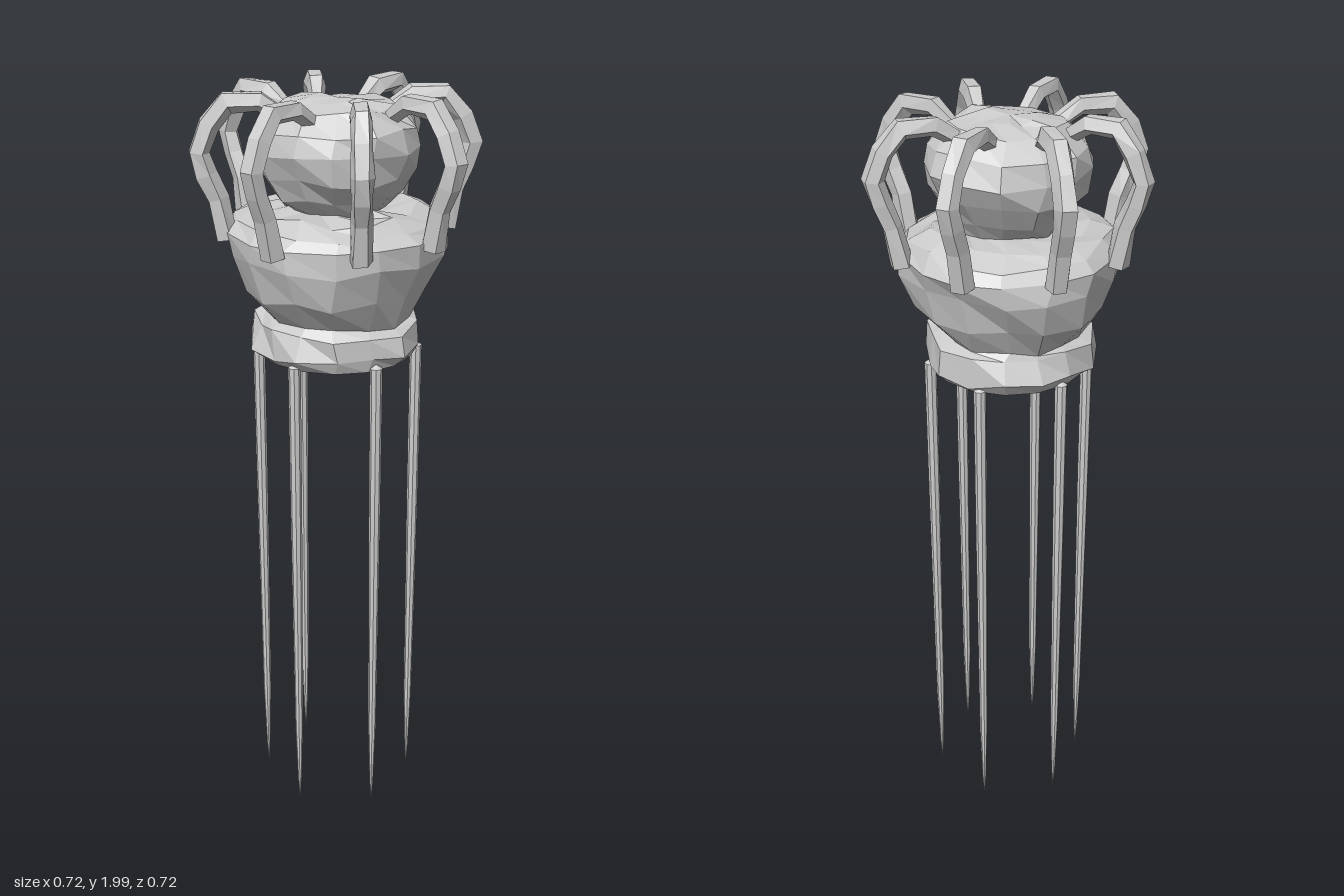
import * as THREE from 'three';

const material = new THREE.MeshStandardMaterial({ color: 0xcccccc, flatShading: true });

// Repeatable noise in -1..1, equal for equal positions so seams stay closed
function noise(x, y, z, k) {
  const q = v => Math.round(v * 1000);
  const s = Math.sin(q(x) * 12.99 + q(y) * 78.23 + q(z) * 37.72 + k * 4.1) * 43758.55;
  return (s - Math.floor(s)) * 2 - 1;
}

function roughen(geometry, amount, fixed = () => false) {
  const p = geometry.attributes.position;
  for (let i = 0; i < p.count; i++) {
    const x = p.getX(i), y = p.getY(i), z = p.getZ(i);
    if (Math.hypot(x, z) < 0.01 || fixed(y)) continue;
    p.setXYZ(i, x + amount * noise(x, y, z, 1), y + amount * noise(x, y, z, 2), z + amount * noise(x, y, z, 3));
  }
  geometry.computeVertexNormals();
  return geometry;
}

function lathe(name, profile, sides, amount, fixed) {
  const points = profile.map(([r, y]) => new THREE.Vector2(r, y));
  const mesh = new THREE.Mesh(roughen(new THREE.LatheGeometry(points, sides), amount, fixed), material);
  mesh.name = name;
  return mesh;
}

// Bent arm in its own plane: +x outwards, y up, swept with a five-sided section
function armGeometry(path, seed) {
  const sides = 5, pos = [], index = [];
  const pts = path.map(([x, y]) => new THREE.Vector2(x, y));
  pts.forEach((p, i) => {
    const t = pts[Math.min(i + 1, pts.length - 1)].clone().sub(pts[Math.max(i - 1, 0)]).normalize();
    const size = path[i][2];
    for (let j = 0; j < sides; j++) {
      const a = (j + 0.5) / sides * Math.PI * 2;
      const r = size * (1 + 0.15 * noise(i, j, seed, 5));
      pos.push(p.x - t.y * Math.cos(a) * r, p.y + t.x * Math.cos(a) * r, Math.sin(a) * r);
    }
  });
  for (let i = 0; i < pts.length - 1; i++) {
    for (let j = 0; j < sides; j++) {
      const a = i * sides + j, b = i * sides + (j + 1) % sides;
      index.push(a, b, a + sides, b, b + sides, a + sides);
    }
  }
  const last = (pts.length - 1) * sides;
  for (let j = 1; j < sides - 1; j++) {
    index.push(0, j + 1, j, last, last + j, last + j + 1);
  }
  const g = new THREE.BufferGeometry();
  g.setAttribute('position', new THREE.Float32BufferAttribute(pos, 3));
  g.setIndex(index);
  g.computeVertexNormals();
  return g;
}

export function createModel() {
  const model = new THREE.Group();

  // Rough bowl-shaped body with a flared collar at its foot
  model.add(lathe('body', [
    [0, 1.32], [0.2, 1.32], [0.218, 1.345], [0.21, 1.41], [0.185, 1.425],
    [0.24, 1.5], [0.272, 1.59], [0.28, 1.64], [0.25, 1.675], [0.2, 1.695], [0.12, 1.7], [0, 1.7],
  ], 15, 0.012, y => y < 1.33));

  // Rounded head with a flattened top
  model.add(lathe('head', [
    [0, 1.68], [0.12, 1.69], [0.155, 1.735], [0.19, 1.79],
    [0.207, 1.85], [0.195, 1.905], [0.14, 1.95], [0.07, 1.963], [0, 1.965],
  ], 13, 0.009));

  // Arms: inner end x, z and outer reach x, z
  const arms = new THREE.Group();
  arms.name = 'arms';
  [
    [-0.055, -0.13, -0.075, -0.335], [0.06, -0.12, 0.185, -0.285],
    [0.13, -0.05, 0.335, -0.075], [0.13, 0.06, 0.28, 0.19],
    [0.055, 0.13, 0.066, 0.335], [-0.06, 0.13, -0.185, 0.285],
    [-0.13, 0.05, -0.335, 0.072], [-0.13, -0.065, -0.285, -0.19],
  ].forEach(([x0, z0, x1, z1], i) => {
    const reach = Math.hypot(x1 - x0, z1 - z0);
    const path = [
      [0, 1.93, 0.02], [0.27, 1.965, 0.026], [0.66, 1.965, 0.028], [0.87, 1.91, 0.028],
      [1, 1.845, 0.028], [0.92, 1.79, 0.028], [0.8, 1.73, 0.028], [0.7, 1.63, 0.03],
    ].map(([t, y, r]) => [t * reach, y, r]);
    const arm = new THREE.Mesh(armGeometry(path, i + 1), material);
    arm.name = 'arm';
    arm.position.set(x0, 0, z0);
    arm.rotation.y = -Math.atan2(z1 - z0, x1 - x0);
    arms.add(arm);
  });
  model.add(arms);

  // Six long thin spikes around the underside
  const spikes = new THREE.Group();
  spikes.name = 'spikes';
  for (let i = 0; i < 6; i++) {
    const a = i * Math.PI / 3;
    const profile = [[0, 0], [0.005, 0.06], [0.011, 0.25], [0.015, 0.9], [0.016, 1.33], [0, 1.34]];
    const spike = lathe('spike', profile, 8, 0);
    spike.position.set(0.205 * Math.cos(a), 0, 0.178 * Math.sin(a) / Math.sin(Math.PI / 3));
    spikes.add(spike);
  }
  model.add(spikes);

  return model;
}
